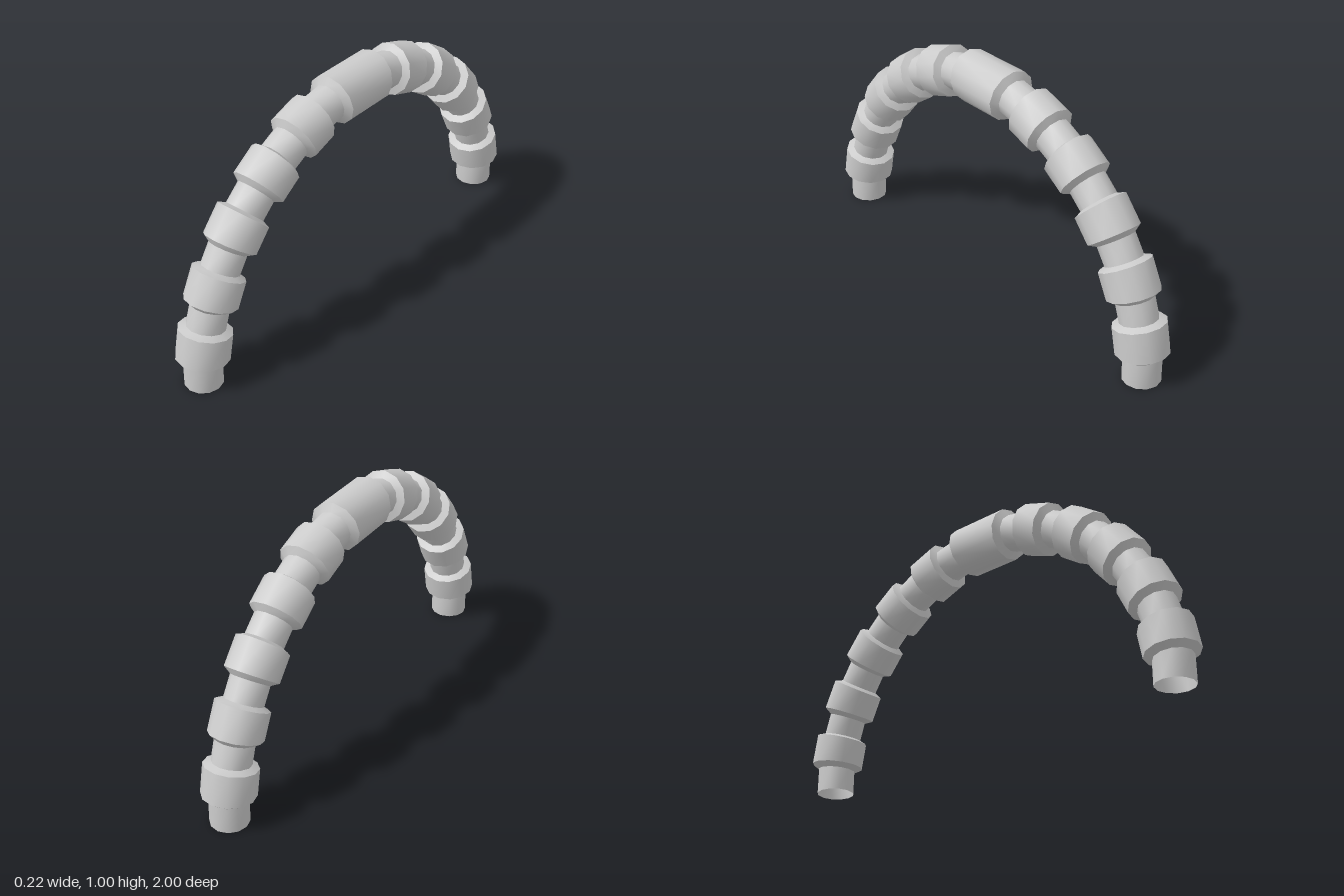
import * as THREE from 'three';
import { toCreasedNormals } from 'three/addons/utils/BufferGeometryUtils.js';

const SIDES = 12;
const ARC = 0.903;      // radius of the arch centre line
const TUBE = 0.078;     // thin tube radius
const COLLAR = 0.108;   // collar radius
const STEP = 14.88;     // degrees between collars

const material = new THREE.MeshStandardMaterial({ color: 0xcccccc, side: THREE.DoubleSide });

// Skin round sections along the arch; each station is [degrees, radius, centre-line radius]
function sweep(name, stations) {
  const pos = [], index = [];
  for (const [deg, r, arc = ARC] of stations) {
    const a = THREE.MathUtils.degToRad(deg);
    for (let j = 0; j < SIDES; j++) {
      const t = (j / SIDES) * Math.PI * 2;
      const d = arc + r * Math.sin(t);
      pos.push(r * Math.cos(t), d * Math.sin(a), d * Math.cos(a));
    }
  }
  for (let i = 0; i < stations.length - 1; i++) {
    for (let j = 0; j < SIDES; j++) {
      const k = (j + 1) % SIDES;
      const a = i * SIDES + j, b = i * SIDES + k, c = a + SIDES, d = b + SIDES;
      index.push(a, c, b, b, c, d);
    }
  }
  const geometry = new THREE.BufferGeometry();
  geometry.setAttribute('position', new THREE.Float32BufferAttribute(pos, 3));
  geometry.setIndex(index);
  const mesh = new THREE.Mesh(toCreasedNormals(geometry, 0.6), material);
  mesh.name = name;
  return mesh;
}

// The same part on the far leg of the arch
const mirrored = (stations) => stations.map(([deg, r, arc]) => [180 - deg, r, arc]).reverse();

export function createModel() {
  const group = new THREE.Group();
  group.name = 'segmentedArch';

  const addPair = (name, stations) => {
    group.add(sweep(name + 'Front', stations));
    group.add(sweep(name + 'Back', mirrored(stations)));
  };

  // Tubes and bevelled collars climbing both legs
  let tubeStart = [0, TUBE, 0.898];
  for (let i = 0; i < 5; i++) {
    const low = 7.9 + i * STEP, high = low + 7.5;
    addPair('tube' + (i + 1), [tubeStart, [low - 1.2, TUBE]]);
    addPair('collar' + (i + 1), [
      [low - 1.2, TUBE], [low, COLLAR], [high, COLLAR], [high + 0.8, TUBE],
    ]);
    tubeStart = [high + 0.8, TUBE];
  }

  // Last tubes and the long collar at the crown
  const low = 7.9 + 5 * STEP;
  addPair('tube6', [tubeStart, [low - 1.2, TUBE]]);
  const half = [[low - 1.2, TUBE], [low, COLLAR]];
  group.add(sweep('crownCollar', [...half, ...mirrored(half)]));

  return group;
}
